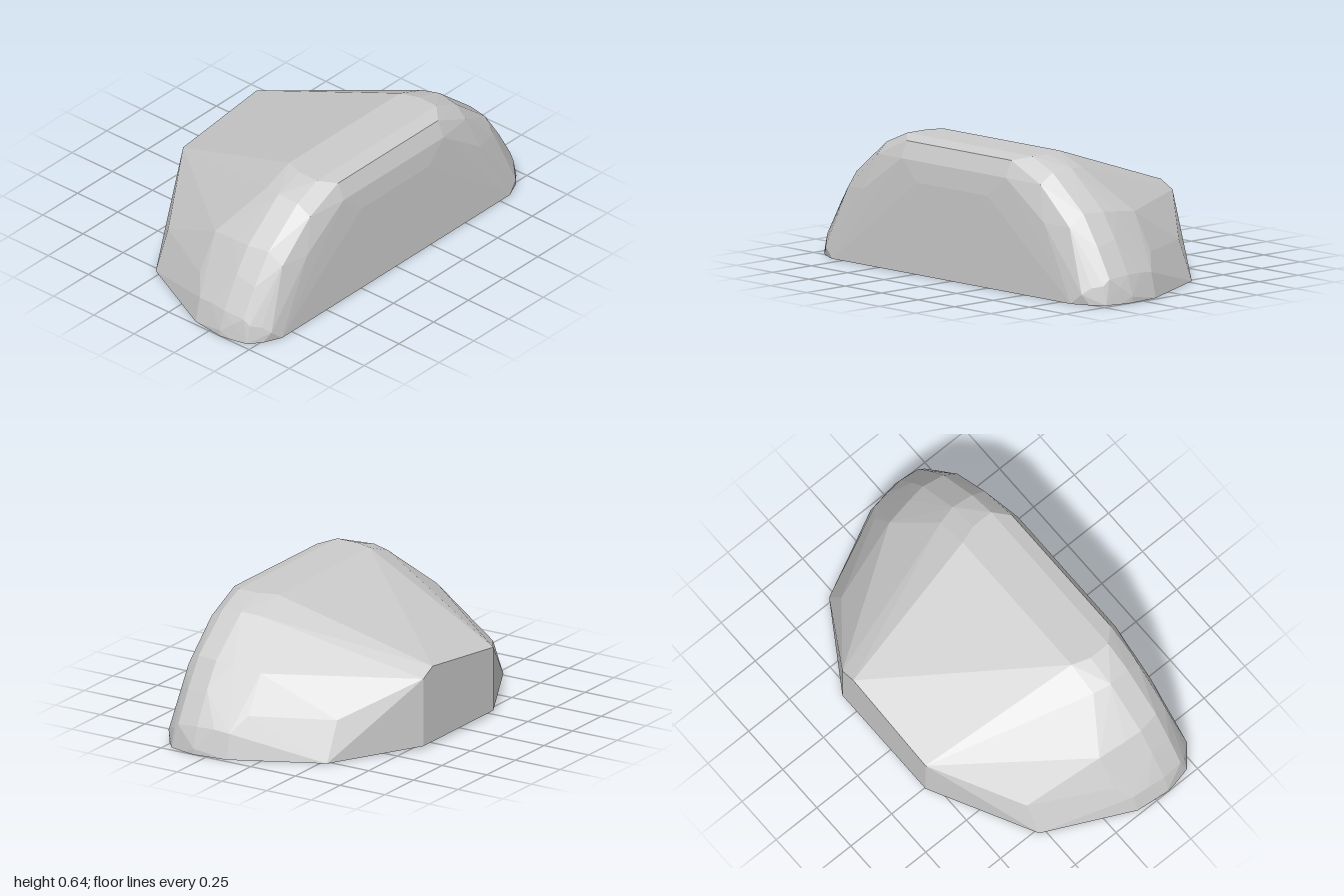
import * as THREE from 'three';
import { ConvexGeometry } from 'three/addons/geometries/ConvexGeometry.js';

// Half outlines [x, y] of the arch at successive depths, mirrored in x
const sections = [
  { z: 0.55, half: [[0.82, 0]] },
  { z: 0.545, half: [[0.24, 0.44], [0.82, 0.04]] },
  { z: 0.535, half: [[0.36, 0.54], [0.62, 0.36], [0.88, 0.05]] },
  { z: 0.51, half: [[0.91, 0]] },
  { z: 0.5, half: [[0.36, 0.62], [0.56, 0.53], [0.76, 0.35], [0.91, 0.08]] },
  { z: 0.46, half: [[0.97, 0], [0.95, 0.09]] },
  { z: 0.43, half: [[0.43, 0.64], [0.57, 0.58], [0.78, 0.41], [0.88, 0.26], [0.96, 0.12]] },
  { z: 0.38, half: [[0.99, 0], [0.98, 0.08]] },
  { z: 0.32, half: [[0.43, 0.64], [0.58, 0.59], [0.8, 0.41], [0.88, 0.29], [0.97, 0.13], [1, 0.03], [1, 0]] },
  { z: 0.23, half: [[0.4, 0.64], [0.56, 0.58], [0.79, 0.4], [0.96, 0.13]] },
  { z: 0.15, half: [[0.98, 0], [0.95, 0.12]] },
  { z: 0.09, half: [[0.77, 0.38], [0.88, 0.2]] },
  { z: -0.28, half: [[0.77, 0], [0.68, 0.19]] },
];

// Lopsided flat end at the back
const backFace = [[-0.26, 0.015], [0.35, 0.015], [0.35, 0.35], [0.27, 0.39], [-0.26, 0.33]];

export function createModel() {
  const group = new THREE.Group();
  const points = backFace.map(([x, y]) => new THREE.Vector3(x, y, -0.55));
  for (const { z, half } of sections) {
    for (const [x, y] of half) {
      points.push(new THREE.Vector3(x, y, z), new THREE.Vector3(-x, y, z));
    }
  }

  // Faceted solid wrapped around the sections
  const body = new THREE.Mesh(
    new ConvexGeometry(points),
    new THREE.MeshStandardMaterial({ color: 0xcccccc, flatShading: true })
  );
  body.name = 'facetedBody';
  group.add(body);
  return group;
}
